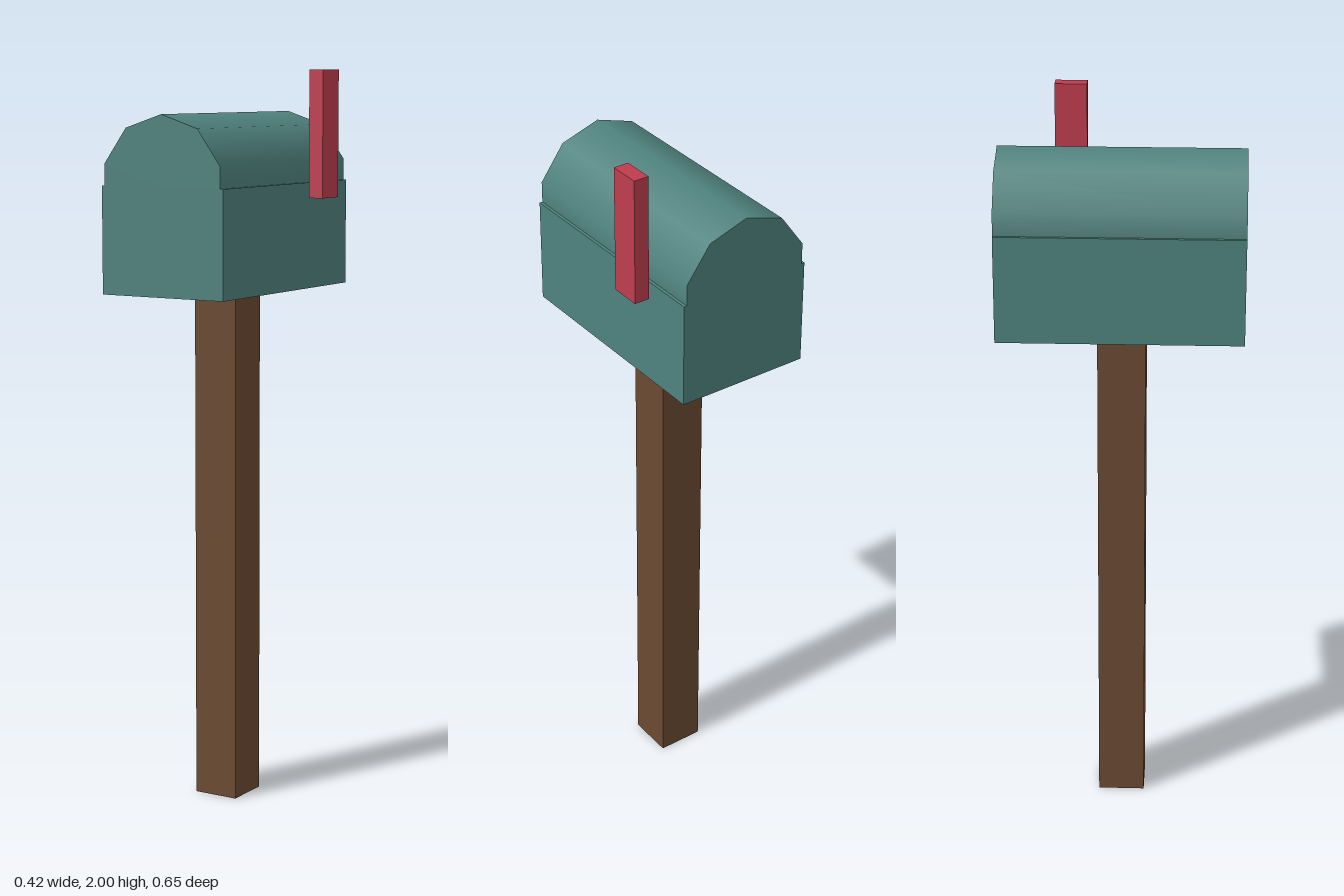
import * as THREE from 'three';

const CENTER_X = -0.026; // post and box sit slightly right to balance the flag
const LENGTH = 0.648;
const FLOOR = 1.413;
const SHOULDER = 1.699;

export function createModel() {
  const model = new THREE.Group();
  model.name = 'mailbox';

  const wood = new THREE.MeshStandardMaterial({ color: 0x6b4a32 });
  const teal = new THREE.MeshStandardMaterial({ color: 0x4f827e });
  const red = new THREE.MeshStandardMaterial({ color: 0xbf3d4f });

  function add(name, geometry, material, x, y, z) {
    const mesh = new THREE.Mesh(geometry, material);
    mesh.name = name;
    mesh.position.set(x, y, z);
    model.add(mesh);
  }

  // Square wooden post
  add('post', new THREE.BoxGeometry(0.128, FLOOR, 0.128), wood, CENTER_X, FLOOR / 2, 0);

  // Lower half of the letter box
  add('boxBody', new THREE.BoxGeometry(0.373, SHOULDER - FLOOR, LENGTH), teal,
    CENTER_X, (SHOULDER + FLOOR) / 2, 0);

  // Ten-sided smooth barrel lying along z, one corner at the ridge
  const barrel = new THREE.CylinderGeometry(0.187, 0.187, LENGTH, 10);
  barrel.rotateX(-Math.PI / 2);
  add('roundedRoof', barrel, teal, CENTER_X, SHOULDER, 0);

  // Raised signal flag, standing just off the left side
  add('flag', new THREE.BoxGeometry(0.042, 0.342, 0.086), red, 0.19, 1.829, -0.144);

  return model;
}
